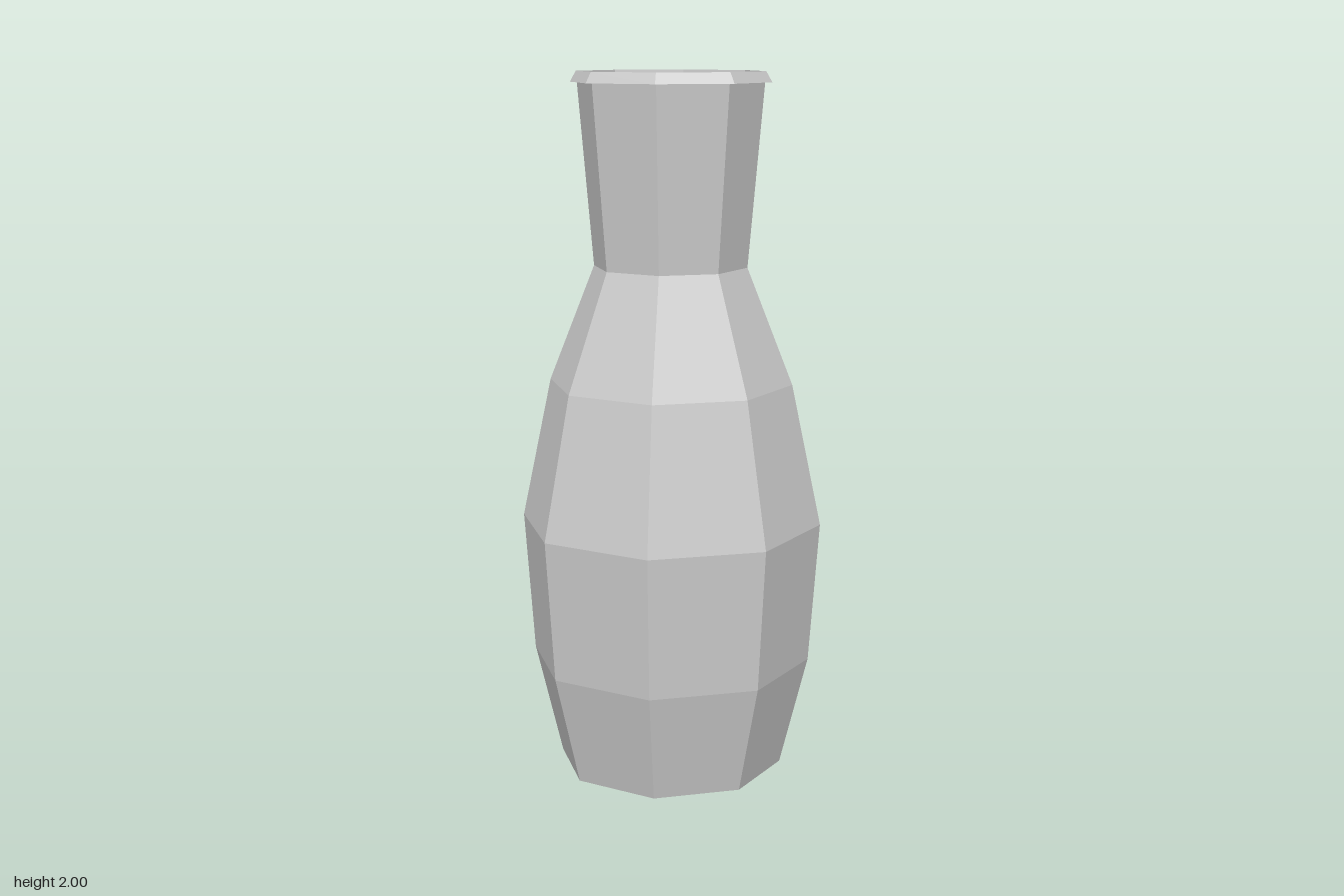
import * as THREE from 'three';

const SIDES = 8;

// Lathes a [radius, height] profile into a faceted eight-sided shell
function lathe(name, profile, material) {
  const points = profile.map(([r, y]) => new THREE.Vector2(r, y));
  const mesh = new THREE.Mesh(new THREE.LatheGeometry(points, SIDES), material);
  mesh.name = name;
  return mesh;
}

export function createModel() {
  const group = new THREE.Group();
  group.name = 'vase';
  const material = new THREE.MeshStandardMaterial({
    color: 0xcccccc, flatShading: true, side: THREE.DoubleSide,
  });

  // Swelling belly, from the foot up to the narrow of the neck
  group.add(lathe('body', [
    [0.325, 0], [0.404, 0.32], [0.433, 0.725], [0.348, 1.13], [0.218, 1.46],
  ], material));

  // Flared, open neck
  group.add(lathe('neck', [[0.218, 1.46], [0.265, 2]], material));

  // Rim folded outwards over the neck
  group.add(lathe('lip', [[0.262, 1.97], [0.282, 1.97], [0.265, 2]], material));

  // Flat floor
  const base = new THREE.Mesh(new THREE.CircleGeometry(0.325, SIDES).rotateX(Math.PI / 2), material);
  base.name = 'base';
  group.add(base);

  return group;
}
